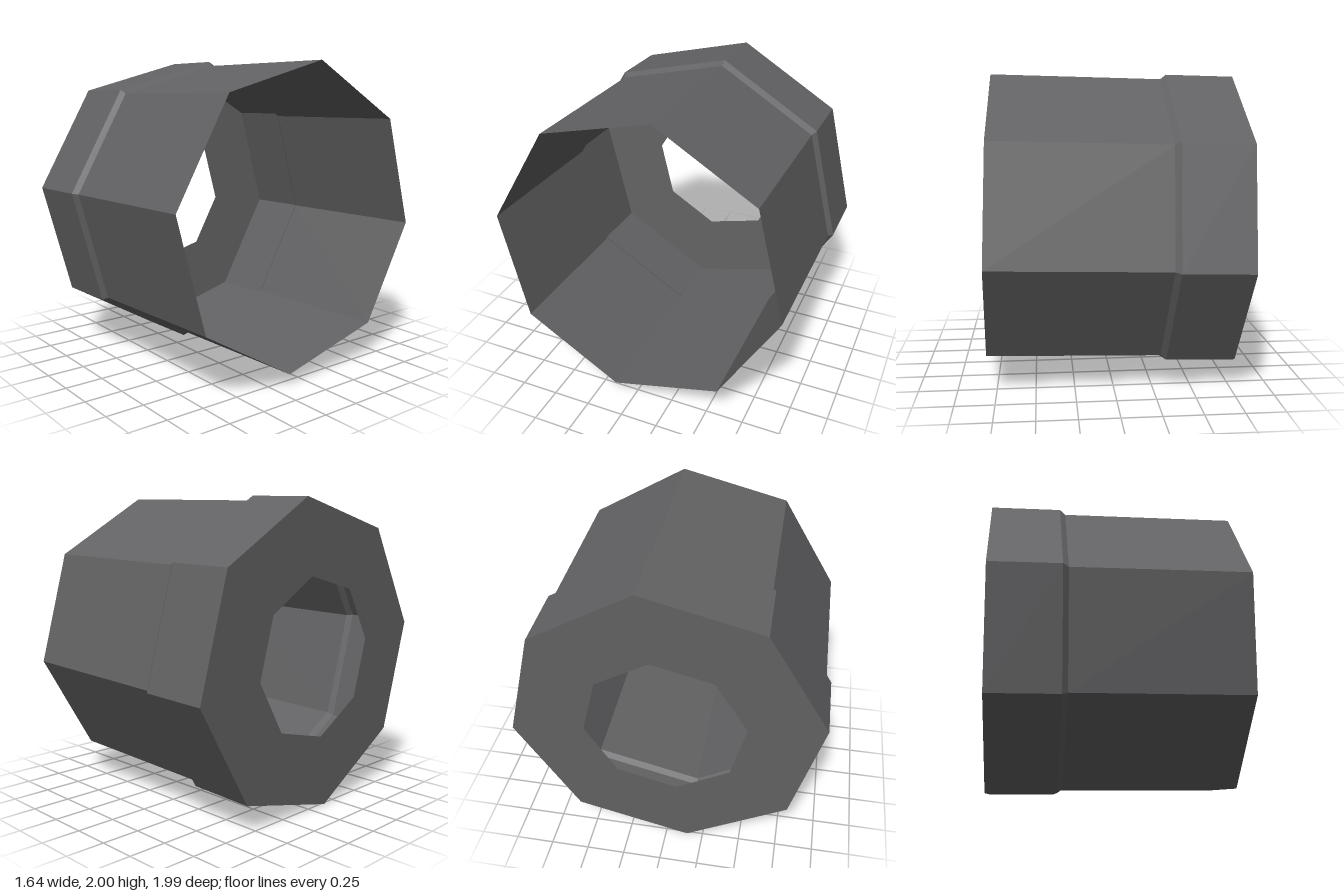
import * as THREE from 'three';

const SIDES = 8;
const ROLL = THREE.MathUtils.degToRad(36.8);

export function createModel() {
  const group = new THREE.Group();
  group.name = 'octagonalSleeve';

  const darkGrey = new THREE.MeshStandardMaterial({ color: 0x626264, flatShading: true, side: THREE.DoubleSide });
  darkGrey.name = 'dark grey';

  // Eight-sided surface of revolution about x; profile is [radius, x] pairs
  function addPart(name, profile) {
    const points = profile.map(([r, x]) => new THREE.Vector2(r, x));
    const geometry = new THREE.LatheGeometry(points, SIDES, ROLL).rotateZ(-Math.PI / 2).toNonIndexed();
    geometry.computeVertexNormals();
    const mesh = new THREE.Mesh(geometry, darkGrey);
    mesh.name = name;
    group.add(mesh);
  }

  addPart('endRing', [[0.522, -0.795], [1.002, -0.795]]); // flat cap with octagonal hole
  addPart('collar', [[1.002, -0.795], [1.002, -0.35]]);
  addPart('collarBevel', [[1.002, -0.35], [0.972, -0.315]]);
  addPart('openSleeve', [[0.972, -0.315], [0.972, 0.79]]); // open at the far end

  // Slight tilt of the whole tube
  group.quaternion.setFromUnitVectors(
    new THREE.Vector3(1, 0, 0),
    new THREE.Vector3(1, 0.0275, -0.006).normalize()
  );
  group.position.set(0, 1.015, -0.003);

  const model = new THREE.Group();
  model.name = 'model';
  model.add(group);
  return model;
}
